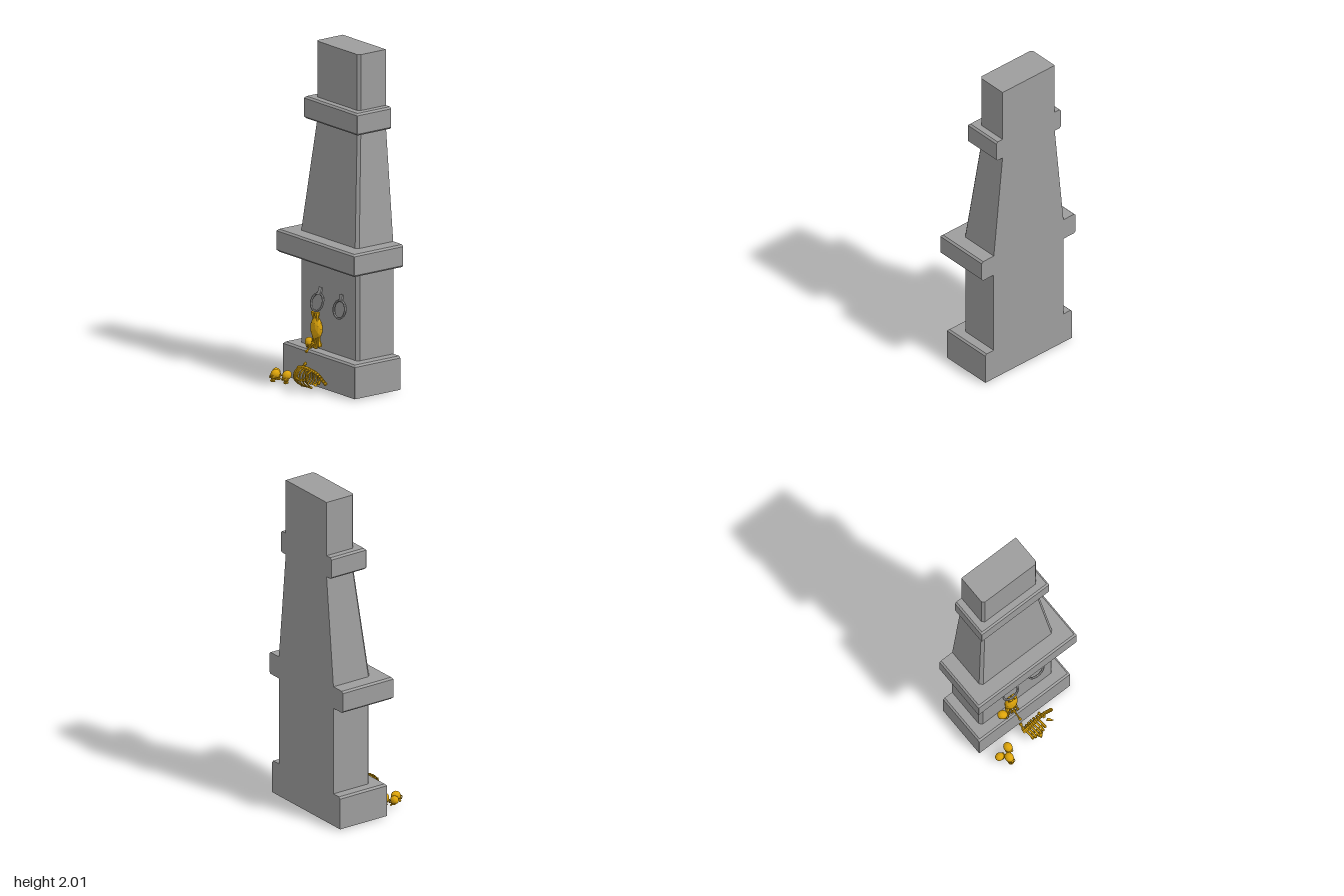
import * as THREE from 'three';

const stone = new THREE.MeshStandardMaterial({ color: 0x9d9d9d, flatShading: true });
const bone = new THREE.MeshStandardMaterial({ color: 0xdda40a, flatShading: true, side: THREE.DoubleSide });
const V = (x, y, z) => new THREE.Vector3(x, y, z);
const BACK = 0.26;

function mesh(name, geometry, material) {
  const m = new THREE.Mesh(geometry, material);
  m.name = name;
  return m;
}

// Stacked sections [y, front x, half depth, corner chamfer], all flush with the flat back
function loft(name, sections) {
  const rings = sections.map(([y, x, z, c]) => [
    [BACK, y, -z], [x + c, y, -z], [x, y, -z + c], [x, y, z - c], [x + c, y, z], [BACK, y, z]]);
  const pos = [];
  const tri = (a, b, c) => pos.push(...a, ...b, ...c);
  for (let k = 0; k < rings.length - 1; k++) {
    const a = rings[k], b = rings[k + 1];
    for (let i = 0; i < 6; i++) {
      const j = (i + 1) % 6;
      tri(a[i], a[j], b[j]);
      tri(a[i], b[j], b[i]);
    }
  }
  const low = rings[0], top = rings[rings.length - 1];
  for (let i = 1; i < 5; i++) {
    tri(top[0], top[i], top[i + 1]);
    tri(low[0], low[i + 1], low[i]);
  }
  const g = new THREE.BufferGeometry();
  g.setAttribute('position', new THREE.Float32BufferAttribute(pos, 3));
  g.computeVertexNormals();
  return mesh(name, g, stone);
}

// Projecting band with bevelled top and, optionally, bottom edges
function band(name, y0, y1, x, z, bevelBottom = true) {
  const b = 0.011, c = 0.002;
  const s = [[y0 + b, x, z, c], [y1 - b, x, z, c], [y1, x + b, z - b, c]];
  s.unshift(bevelBottom ? [y0, x + b, z - b, c] : [y0, x, z, c]);
  return loft(name, s);
}

// Long bone with knobbed ends
function longBone(name, a, b, r, knob = 1.7) {
  const len = a.distanceTo(b);
  const p = [[0, 0], [r * knob, r * 0.7], [r * knob, r * 1.8], [r, r * 4], [r * 0.85, len / 2],
    [r, len - r * 4], [r * knob, len - r * 1.8], [r * knob, len - r * 0.7], [0, len]];
  const m = mesh(name, new THREE.LatheGeometry(p.map(([x, y]) => new THREE.Vector2(x, y)), 7), bone);
  m.position.copy(a);
  m.quaternion.setFromUnitVectors(V(0, 1, 0), b.clone().sub(a).normalize());
  return m;
}

// Skull looking along local -x
function skull(name, x, y, z, turn, roll = 0, size = 1) {
  const g = new THREE.Group();
  g.name = name;
  const cranium = mesh('cranium', new THREE.IcosahedronGeometry(0.025, 2), bone);
  cranium.scale.set(1.1, 1, 0.95);
  const face = mesh('face', new THREE.CylinderGeometry(0.017, 0.012, 0.03, 7), bone);
  face.position.set(-0.018, -0.015, 0);
  const jaw = mesh('jaw', new THREE.TorusGeometry(0.013, 0.005, 5, 8, Math.PI), bone);
  jaw.rotation.set(Math.PI / 2, 0, Math.PI / 2);
  jaw.position.set(-0.02, -0.031, 0);
  g.add(cranium, face, jaw);
  for (const s of [-1, 1]) {
    const brow = mesh('eyeSocket', new THREE.TorusGeometry(0.006, 0.002, 4, 7), bone);
    brow.rotation.y = Math.PI / 2;
    brow.position.set(-0.034, -0.007, s * 0.008);
    const cheek = mesh('cheekbone', new THREE.BoxGeometry(0.022, 0.004, 0.004), bone);
    cheek.position.set(-0.018, -0.014, s * 0.018);
    g.add(brow, cheek);
  }
  g.position.set(x, y, z);
  g.rotation.set(0, turn, roll);
  g.scale.setScalar(size);
  return g;
}

// Wall shackle: plate and tilted ring
function shackle(z, tilt) {
  const g = new THREE.Group();
  g.name = 'shackle';
  const plate = mesh('shacklePlate', new THREE.BoxGeometry(0.01, 0.045, 0.026), stone);
  plate.position.y = -0.012;
  const ring = mesh('shackleRing', new THREE.TorusGeometry(0.052, 0.007, 6, 16), stone);
  ring.rotation.y = Math.PI / 2;
  ring.position.y = -0.078;
  g.add(plate, ring);
  g.position.set(-0.006, 0.558, z);
  g.rotation.z = tilt;
  return g;
}

// Rib cage lying on its front: spine above, flat rib hoops hanging below
function ribCage() {
  const g = new THREE.Group();
  g.name = 'ribCage';
  const spine = new THREE.CatmullRomCurve3([
    V(-0.16, 0.115, -0.075), V(-0.16, 0.125, -0.03), V(-0.152, 0.12, 0.02),
    V(-0.142, 0.1, 0.08), V(-0.137, 0.06, 0.142)]);
  for (let i = 0; i < 17; i++) {
    const v = mesh('vertebra', new THREE.CylinderGeometry(0.01, 0.012, 0.0115, 7), bone);
    v.position.copy(spine.getPoint(i / 16));
    v.quaternion.setFromUnitVectors(V(0, 1, 0), spine.getTangent(i / 16));
    g.add(v);
  }
  for (let i = 0; i < 6; i++) {
    const root = spine.getPoint(0.06 + i * 0.1);
    const r = 0.038 + 0.012 * Math.sin((i + 1) / 7 * Math.PI);
    for (const s of [-1, 1]) {
      const pts = [V(0, 0, 0)];
      for (let k = 1; k <= 5; k++) {
        const a = k / 5 * 2.65;
        pts.push(V(s * r * Math.sin(a) - 0.012, -r * (1 - Math.cos(a)), 0.009 * Math.sin(a * 0.6)));
      }
      const rib = mesh('rib', new THREE.TubeGeometry(new THREE.CatmullRomCurve3(pts), 10, 0.0038, 5), bone);
      rib.scale.z = 2;
      rib.position.copy(root);
      g.add(rib);
    }
  }
  g.add(longBone('breastbone', V(-0.175, 0.022, -0.04), V(-0.17, 0.025, 0.06), 0.006, 1.2));
  return g;
}

// Flat blade bone
function blade(x, y, z, rx, ry, rz, scale) {
  const s = new THREE.Shape([[-0.02, 0.03], [0.01, 0.028], [0.018, 0.008], [0.004, -0.036], [-0.014, -0.02]]
    .map(([u, v]) => new THREE.Vector2(u, v)));
  const m = mesh('shoulderBlade', new THREE.ExtrudeGeometry(s, {
    depth: 0.004, bevelEnabled: true, bevelSize: 0.003, bevelThickness: 0.003, bevelSegments: 1 }), bone);
  m.position.set(x, y, z);
  m.rotation.set(rx, ry, rz);
  m.scale.setScalar(scale);
  return m;
}

// Arm hanging from the shackle
function hangingArm() {
  const g = new THREE.Group();
  g.name = 'hangingArm';
  const z = -0.07;
  g.add(longBone('radius', V(-0.045, 0.435, z - 0.014), V(-0.03, 0.23, z - 0.022), 0.01));
  g.add(longBone('ulna', V(-0.045, 0.435, z + 0.014), V(-0.035, 0.22, z + 0.026), 0.01));
  const palm = mesh('palm', new THREE.IcosahedronGeometry(0.03, 1), bone);
  palm.scale.set(1, 2.4, 1.45);
  palm.position.set(-0.036, 0.33, z);
  g.add(palm);
  for (let i = 0; i < 4; i++) {
    const o = (i - 1.5) * 0.011;
    g.add(longBone('finger', V(-0.042, 0.29, z + o), V(-0.05 - i * 0.004, 0.215, z + o * 1.8), 0.005));
  }
  g.add(longBone('looseForearm', V(-0.055, 0.25, z), V(-0.12, 0.2, -0.065), 0.0055));
  return g;
}

export function createModel() {
  const model = new THREE.Group();
  model.name = 'pillarWithRemains';

  // Half pillar
  model.add(
    band('plinth', 0, 0.2, -0.073, 0.333, false),
    loft('lowerShaft', [[0.2, -0.002, 0.268, 0.017], [0.735, -0.002, 0.268, 0.017]]),
    band('cornice', 0.735, 0.87, -0.1, 0.36),
    loft('taperedShaft', [[0.87, -0.005, 0.267, 0.017], [1.535, 0.061, 0.2, 0.015]]),
    band('collar', 1.535, 1.667, 0.012, 0.248),
    loft('upperShaft', [[1.667, 0.061, 0.2, 0.015], [2, 0.061, 0.2, 0.015]]));

  // Shackles and the arm still held in one
  model.add(shackle(-0.07, -0.33), shackle(0.125, -0.2), hangingArm());

  // Skulls: three piled on the ground, one on the plinth
  model.add(
    skull('groundSkull', -0.175, 0.05, -0.265, Math.PI / 2, 0.2),
    skull('groundSkull', -0.213, 0.055, -0.225, 0, 0.15, 1.08),
    skull('groundSkull', -0.157, 0.045, -0.19, 0, 0.5, 1.08),
    skull('plinthSkull', -0.037, 0.235, -0.135, 1.1, 0.3, 1.1));

  // Scattered torso on the ground
  model.add(ribCage(),
    blade(-0.218, 0.07, -0.002, -1.2, 0.2, 0.6, 0.75),
    blade(-0.178, 0.05, 0.1, -1.2, 0.3, -0.9, 0.55),
    longBone('collarBone', V(-0.155, 0.11, -0.07), V(-0.112, 0.14, -0.065), 0.006),
    longBone('looseBone', V(-0.15, 0.05, 0.09), V(-0.106, 0.07, 0.068), 0.006));
  return model;
}
